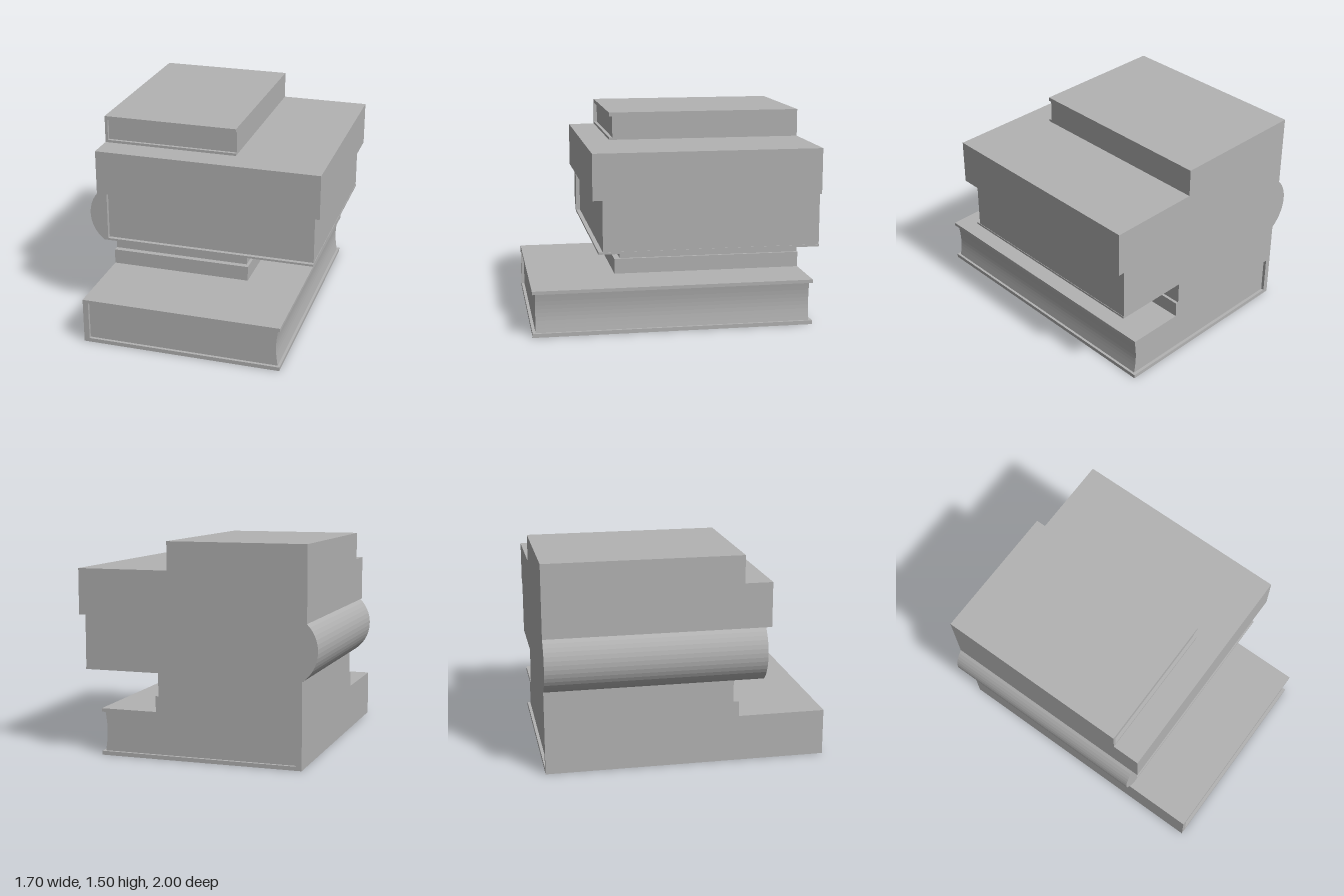
import * as THREE from 'three';

const BACK = -1;

export function createModel() {
  const grey = new THREE.MeshStandardMaterial({ color: 0xb3b3b3 });
  grey.name = 'plain grey';
  const stack = new THREE.Group();
  stack.name = 'bookStack';

  const add = (parent, name, geometry) => {
    const mesh = new THREE.Mesh(geometry, grey);
    mesh.name = name;
    parent.add(mesh);
  };
  const book = (name) => {
    const group = new THREE.Group();
    group.name = name;
    stack.add(group);
    return group;
  };
  const block = (x0, x1, y0, y1, z0, z1) =>
    new THREE.BoxGeometry(x1 - x0, y1 - y0, z1 - z0)
      .translate((x0 + x1) / 2, (y0 + y1) / 2, (z0 + z1) / 2);
  // Front-facing outline swept along z
  const sweep = (points, z0, z1) =>
    new THREE.ExtrudeGeometry(new THREE.Shape(points.map(([x, y]) => new THREE.Vector2(x, y))),
      { depth: z1 - z0, bevelEnabled: false }).translate(0, 0, z0);
  // C-shaped cover: two boards joined by a spine on the left side of the page
  const cover = (x0, x1, y0, y1, spine, low, high, z1) => sweep([
    [x0, y0], [x1, y0], [x1, y0 + low], [x0 + spine, y0 + low],
    [x0 + spine, y1 - high], [x1, y1 - high], [x1, y1], [x0, y1],
  ], BACK, z1);

  // Bottom hardback with a hollowed fore-edge
  const bottom = book('bottomBook');
  add(bottom, 'bottomCover', cover(-0.75, 0.69, 0, 0.33, 0.04, 0.028, 0.024, 1));
  const pages = [[-0.71, 0.306], [-0.71, 0.028]];
  for (let i = 0; i <= 10; i++) {
    const t = i / 10;
    pages.push([0.672 - 0.014 * Math.sin(Math.PI * t), 0.028 + 0.278 * t]);
  }
  add(bottom, 'bottomPages', sweep(pages, -0.978, 0.978));

  // Two thin paperbacks
  add(book('secondBook'), 'secondBookBlock', block(-0.75, 0.285, 0.33, 0.44, BACK, 0.375));
  add(book('thirdBook'), 'thirdBookBlock', block(-0.75, 0.265, 0.44, 0.6, BACK, 0.333));

  // Thick book with a rounded spine
  const round = book('roundSpineBook');
  const spine = [[-0.725, 0.6], [-0.725, 0.98]];
  const a0 = Math.asin(0.18 / 0.25), a1 = -Math.asin(0.2 / 0.25);
  for (let i = 0; i <= 14; i++) {
    const a = a0 + (a1 - a0) * i / 14;
    spine.push([-0.605 - 0.25 * Math.cos(a), 0.8 + 0.25 * Math.sin(a)]);
  }
  add(round, 'roundSpine', sweep(spine, BACK, 0.55));
  add(round, 'roundBookBoard', block(-0.725, 0.805, 0.6, 0.615, BACK, 0.55));
  add(round, 'roundBookPages', block(-0.725, 0.802, 0.615, 0.98, BACK, 0.52));

  // Wide plain volume
  add(book('wideBook'), 'wideBookBlock', block(-0.78, 0.85, 0.98, 1.3, BACK, 0.593));

  // Small top book with recessed pages
  const top = book('topBook');
  add(top, 'topCover', cover(-0.78, 0.197, 1.3, 1.497, 0.02, 0.018, 0.027, 0.395));
  add(top, 'topPages', block(-0.76, 0.197, 1.318, 1.47, BACK, 0.372));

  return stack;
}
